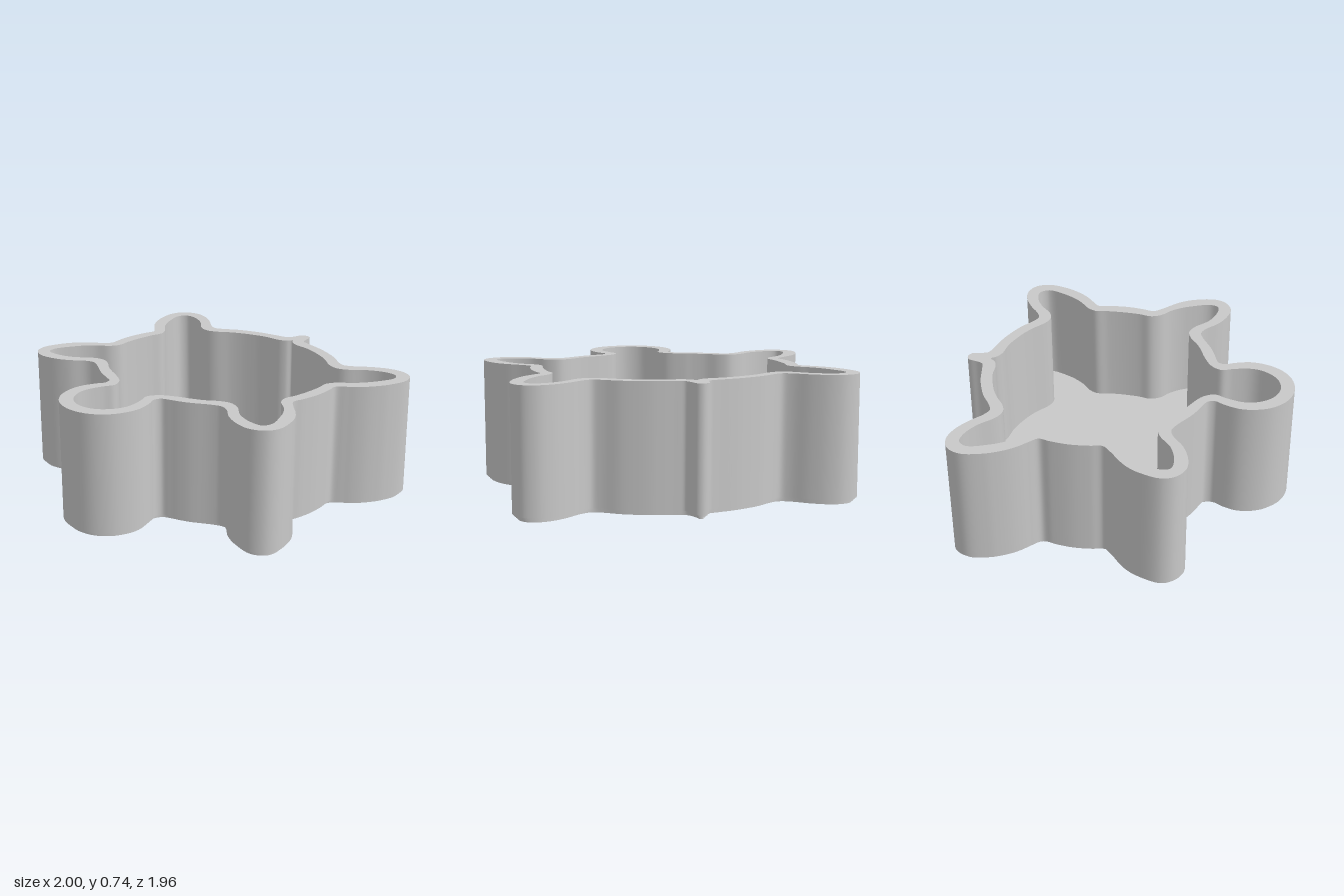
import * as THREE from 'three';

const HEIGHT = 0.74, FLOOR = 0.12, STEP = 0.01, CENTRE_Z = -0.165;

// Half outlines as [x, z], running from tail to head along +x
const OUTER = [
  [0, -0.98], [0.035, -0.965], [0.05, -0.91], [0.068, -0.872], [0.11, -0.858], [0.18, -0.843], [0.25, -0.826],
  [0.33, -0.797], [0.41, -0.76], [0.495, -0.703], [0.545, -0.683], [0.595, -0.703], [0.685, -0.773],
  [0.78, -0.823], [0.87, -0.836], [0.95, -0.803], [0.988, -0.72], [0.965, -0.6], [0.937, -0.538],
  [0.9, -0.478], [0.858, -0.43], [0.81, -0.387], [0.768, -0.343], [0.78, -0.28], [0.79, -0.165],
  [0.78, -0.055], [0.768, 0.013], [0.81, 0.063], [0.89, 0.134], [0.934, 0.184], [0.967, 0.244],
  [0.998, 0.37], [0.97, 0.445], [0.89, 0.492], [0.79, 0.484], [0.685, 0.439], [0.6, 0.371],
  [0.545, 0.353], [0.49, 0.373], [0.38, 0.438], [0.32, 0.465], [0.26, 0.487], [0.22, 0.506],
  [0.207, 0.548], [0.232, 0.599], [0.26, 0.695], [0.25, 0.79], [0.205, 0.882], [0.12, 0.952], [0, 0.98],
];
const INNER = [
  [0, -0.838], [0.025, -0.81], [0.07, -0.787], [0.165, -0.777], [0.22, -0.764], [0.27, -0.747],
  [0.335, -0.721], [0.4, -0.686], [0.485, -0.626], [0.545, -0.607], [0.61, -0.626], [0.705, -0.708],
  [0.8, -0.754], [0.875, -0.758], [0.913, -0.708], [0.875, -0.588], [0.838, -0.522], [0.795, -0.467],
  [0.725, -0.403], [0.698, -0.347], [0.71, -0.27], [0.715, -0.165], [0.71, -0.065], [0.698, 0.008],
  [0.725, 0.068], [0.795, 0.124], [0.837, 0.172], [0.871, 0.229], [0.92, 0.354], [0.9, 0.409],
  [0.81, 0.412], [0.705, 0.374], [0.615, 0.301], [0.545, 0.278], [0.48, 0.298], [0.405, 0.351],
  [0.335, 0.386], [0.27, 0.413], [0.17, 0.473], [0.137, 0.538], [0.163, 0.604], [0.186, 0.714],
  [0.165, 0.795], [0.1, 0.87], [0, 0.9],
];

// Mirror a half outline and sample it as a smooth closed loop
function closedLoop(half) {
  const mirrored = half.slice(1, -1).reverse().map(([x, z]) => [-x, z]);
  const points = [...half, ...mirrored].map(([x, z]) => new THREE.Vector3(x, 0, z));
  const curve = new THREE.CatmullRomCurve3(points, true, 'centripetal');
  return curve.getPoints(points.length * 5).slice(0, -1).map((p) => new THREE.Vector2(p.x, p.z));
}

// Shift a loop inward along its normals
function inset(loop, d) {
  const n = loop.length;
  return loop.map((p, i) => {
    const t = loop[(i + 1) % n].clone().sub(loop[(i + n - 1) % n]).normalize();
    return new THREE.Vector2(p.x - t.y * d, p.y + t.x * d);
  });
}

// Upright wall along a loop, facing outward or inward
function wall(loop, low, high, inward = false) {
  const n = loop.length, positions = [], index = [];
  for (const y of [low, high]) for (const p of loop) positions.push(p.x, y, p.y);
  for (let a = 0; a < n; a++) {
    const b = (a + 1) % n, c = a + n, d = b + n;
    if (inward) index.push(a, b, c, b, d, c);
    else index.push(a, c, b, b, c, d);
  }
  const g = new THREE.BufferGeometry();
  g.setAttribute('position', new THREE.Float32BufferAttribute(positions, 3));
  g.setIndex(index);
  g.computeVertexNormals();
  return g;
}

// Flat face at height y, facing up or down, with optional holes
function plate(loop, y, up, holes = []) {
  const place = (l) => l.map((p) => new THREE.Vector2(p.x, up ? -p.y : p.y));
  const shape = new THREE.Shape(place(loop));
  shape.holes = holes.map((h) => new THREE.Path(place(h)));
  return new THREE.ShapeGeometry(shape).rotateX(up ? -Math.PI / 2 : Math.PI / 2).translate(0, y, 0);
}

// Round-ended slot lying along a direction
function slotLoop(x, z, length, angle, radius = 0.019) {
  const loop = [];
  for (const end of [1, -1]) {
    for (let i = 0; i <= 8; i++) {
      const t = -Math.PI / 2 + i * Math.PI / 8;
      const p = new THREE.Vector2(end * (length / 2 + radius * Math.cos(t)), end * radius * Math.sin(t));
      loop.push(p.rotateAround(new THREE.Vector2(), angle).add(new THREE.Vector2(x, z)));
    }
  }
  return loop;
}

export function createModel() {
  const group = new THREE.Group();
  const grey = new THREE.MeshStandardMaterial({ color: 0xc8c8c8 });
  grey.name = 'grey';
  const add = (name, geometry) => {
    const mesh = new THREE.Mesh(geometry, grey);
    mesh.name = name;
    group.add(mesh);
    return mesh;
  };

  const outer = closedLoop(OUTER), inner = closedLoop(INNER);

  // Walls, rim and floor
  add('outerWall', wall(outer, 3 * STEP, HEIGHT));
  add('innerWall', wall(inner, FLOOR, HEIGHT, true));
  add('rim', plate(outer, HEIGHT, true, [inner]));
  add('floor', plate(inner, FLOOR, true));

  // Lower edge in three small terraces
  const terraces = [3, 2, 1, 0].map((i) => inset(outer, i * STEP));
  for (let i = 0; i < 3; i++) {
    add('terraceWall' + (i + 1), wall(terraces[i], i * STEP, (i + 1) * STEP));
    add('terraceLedge' + (i + 1), plate(terraces[i + 1], (i + 1) * STEP, false, [terraces[i]]));
  }

  // Six radial slots sunk into the underside
  const slots = [[0, -0.67, 0.19], [0.535, -0.445, 0.21], [0.535, 0.11, 0.21],
    [0, 0.38, 0.19], [-0.535, 0.11, 0.21], [-0.535, -0.445, 0.21]]
    .map(([x, z, length]) => slotLoop(x, z, length, Math.atan2(z - CENTRE_Z, x)));
  add('underside', plate(terraces[0], 0, false, slots));
  slots.forEach((loop, i) => {
    add('slotWall' + (i + 1), wall(loop, 0, 0.06, true));
    add('slotEnd' + (i + 1), plate(loop, 0.06, false));
  });

  // Low round boss with a cross on the floor
  const boss = add('floorBoss', new THREE.CylinderGeometry(0.137, 0.137, 0.012, 48));
  boss.position.set(0, FLOOR + 0.006, CENTRE_Z);
  const w = 0.033, r = 0.105;
  const cross = new THREE.Shape([[w, r], [-w, r], [-w, w], [-r, w], [-r, -w], [-w, -w],
    [-w, -r], [w, -r], [w, -w], [r, -w], [r, w], [w, w]].map(([x, y]) => new THREE.Vector2(x, y)));
  const crossMesh = add('floorCross', new THREE.ExtrudeGeometry(cross, { depth: 0.01, bevelEnabled: false }).rotateX(-Math.PI / 2));
  crossMesh.position.set(0, FLOOR + 0.012, CENTRE_Z);

  return group;
}
